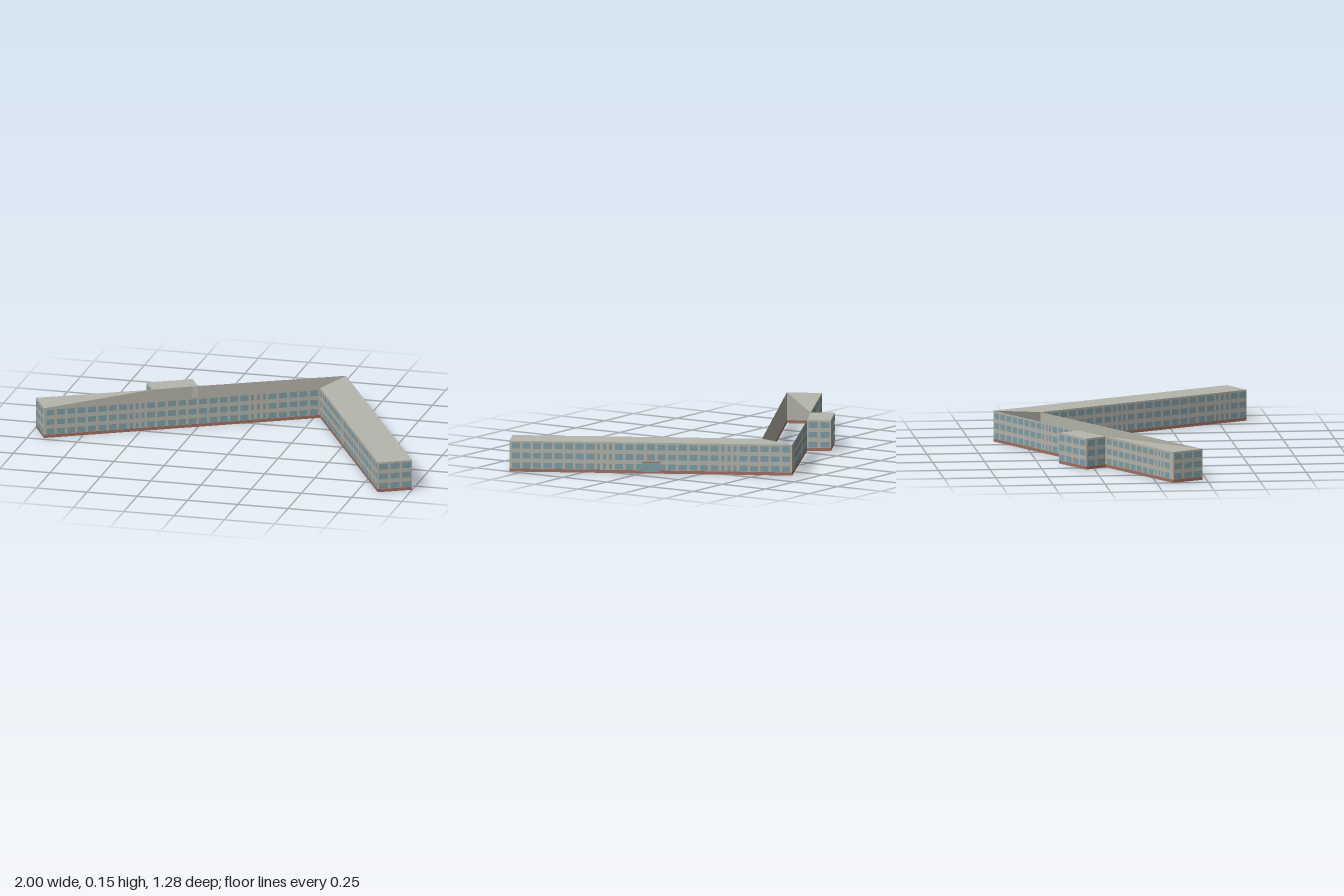
import * as THREE from 'three';
import { mergeGeometries } from 'three/addons/utils/BufferGeometryUtils.js';

const HEIGHT = 0.15, BASE = 0.015;

function material(name, color, side = THREE.FrontSide) {
  const m = new THREE.MeshStandardMaterial({ color, side });
  m.name = name;
  return m;
}

function mesh(name, geometry, mat) {
  const m = new THREE.Mesh(geometry, mat);
  m.name = name;
  return m;
}

// Upright rectangle centred on x, from y0 to y1
function panel(x, y0, y1, width, z = 0) {
  return new THREE.PlaneGeometry(width, y1 - y0).translate(x, (y0 + y1) / 2, z);
}

// Window columns along a wall: [centre, width]
function windowColumns(length) {
  const columns = [];
  if (length < 0.3) {
    const n = Math.max(2, Math.round(length / 0.052)), pitch = length / n;
    for (let i = 0; i < n; i++) columns.push([(i + 0.5) * pitch - length / 2, pitch * 0.76]);
    return columns;
  }
  // runs of wide windows broken by groups of three narrow ones
  let at = 0.006, wide = 8;
  while (at < length) {
    for (let i = 0; i < wide + 3; i++) {
      const pitch = i < wide ? 0.0513 : 0.029, width = i < wide ? 0.039 : 0.015;
      if (at + pitch <= length + 0.006) columns.push([at + pitch / 2 - length / 2, width]);
      at += pitch;
    }
    wide = 10;
  }
  return columns;
}

export function createModel() {
  const wallMat = material('wall grey', 0xb4b2a8, THREE.DoubleSide);
  const roofMat = material('roof grey', 0xb5b6ad, THREE.DoubleSide);
  const baseMat = material('base brown', 0xa0705f, THREE.DoubleSide);
  const glassMat = material('window blue', 0x7d9ca6);
  const model = new THREE.Group();
  model.name = 'building';

  // Outline of the two wings and the stair block, as [name, x, z]
  const outline = [
    ['leftInnerWall', 0.28, -0.42], ['leftEndWall', -0.92, 0.23],
    ['leftBackWall', -1, 0.08], ['stairSideWall', -0.49, -0.19],
    ['stairBackWall', -0.55, -0.29], ['stairFarWall', -0.35, -0.4],
    ['longBackWall', -0.295, -0.3], ['entranceWall', 0.35, -0.64],
    ['rightEndWall', 1, 0.56], ['rightInnerWall', 0.85, 0.64],
  ];

  outline.forEach(([name, ax, az], i) => {
    const [, bx, bz] = outline[(i + 1) % outline.length];
    const dx = bx - ax, dz = bz - az, length = Math.hypot(dx, dz);
    const wall = new THREE.Group();
    wall.name = name;
    wall.position.set((ax + bx) / 2, 0, (az + bz) / 2);
    wall.rotation.y = Math.atan2(dz, -dx);
    wall.add(mesh('wallFace', panel(0, BASE, HEIGHT, length), wallMat));
    wall.add(mesh('wallBase', panel(0, 0, BASE, length), baseMat));

    // Three storeys of windows
    const panes = [];
    for (const y of [0.017, 0.065, 0.113])
      for (const [x, width] of windowColumns(length)) panes.push(panel(x, y, y + 0.028, width, 0.002));
    wall.add(mesh('windows', mergeGeometries(panes), glassMat));

    // Glazed entrance under a flat canopy
    if (name === 'entranceWall') {
      wall.add(mesh('entranceDoor', panel(0, 0.008, 0.055, 0.085, 0.004), glassMat));
      const canopy = mesh('canopy', new THREE.BoxGeometry(0.092, 0.003, 0.02), baseMat);
      canopy.position.set(0.004, 0.057, 0.01);
      wall.add(canopy);
    }
    model.add(wall);
  });

  // Flat roof pieces; the middle of the left wing is open
  const roofs = {
    rightRoof: [0, 7, 8, 9], leftRoof: [1, 2, 3], stairRoof: [3, 4, 5, 6],
  };
  for (const [name, corners] of Object.entries(roofs)) {
    const shape = new THREE.Shape(corners.map((c) => new THREE.Vector2(outline[c][1], -outline[c][2])));
    const roof = mesh(name, new THREE.ShapeGeometry(shape).rotateX(-Math.PI / 2), roofMat);
    roof.position.y = HEIGHT;
    model.add(roof);
  }
  return model;
}
